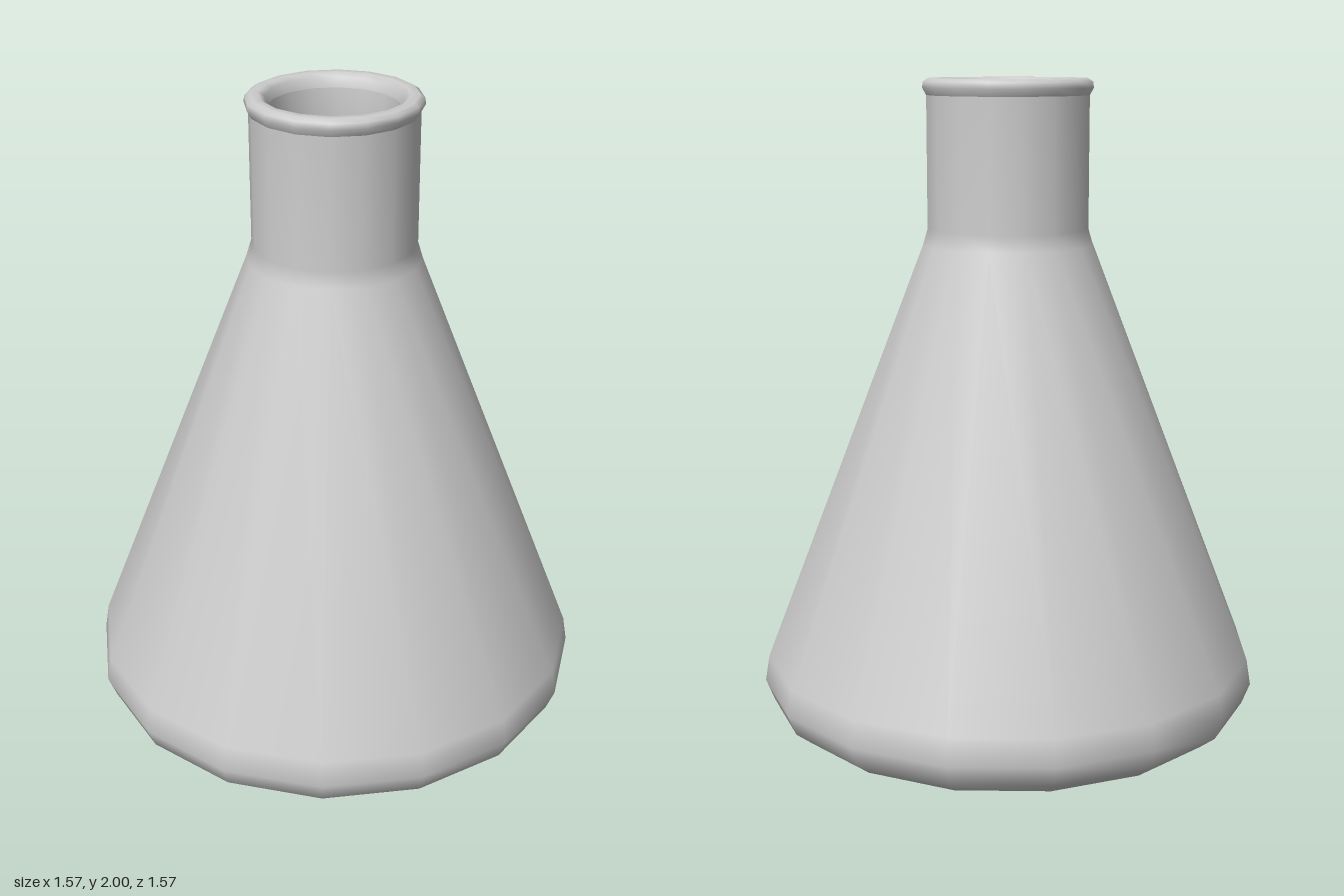
import * as THREE from 'three';

const SIDES = 16;

// Turns a list of [radius, height] pairs around the vertical axis
function turned(name, profile, material) {
  const points = profile.map(([r, y]) => new THREE.Vector2(r, y));
  const mesh = new THREE.Mesh(new THREE.LatheGeometry(points, SIDES), material);
  mesh.name = name;
  return mesh;
}

export function createModel() {
  const glass = new THREE.MeshStandardMaterial({ color: 0xcccccc });
  glass.name = 'greyGlass';

  const flask = new THREE.Group();
  flask.name = 'conicalFlask';

  // Flat underside
  flask.add(turned('base', [[0, 0], [0.64, 0]], glass));

  // Rounded foot, sloping cone and straight neck
  flask.add(turned('outerWall', [
    [0.64, 0], [0.71, 0.015], [0.76, 0.055], [0.785, 0.12], [0.772, 0.2],
    [0.265, 1.5], [0.25, 1.55], [0.25, 1.95],
  ], glass));

  // Rolled lip, carried over to the inside of the neck
  flask.add(turned('lip', [
    [0.25, 1.95], [0.262, 1.972], [0.26, 1.99], [0.245, 2],
    [0.22, 2], [0.203, 1.99], [0.195, 1.96],
  ], glass));

  // Hollow inside, running down from the lip
  flask.add(turned('innerWall', [
    [0.195, 1.96], [0.19, 1.9], [0.19, 1.54], [0.715, 0.2],
    [0.72, 0.12], [0.70, 0.075], [0.65, 0.055],
  ], glass));
  flask.add(turned('innerFloor', [[0.65, 0.055], [0, 0.055]], glass));

  return flask;
}
